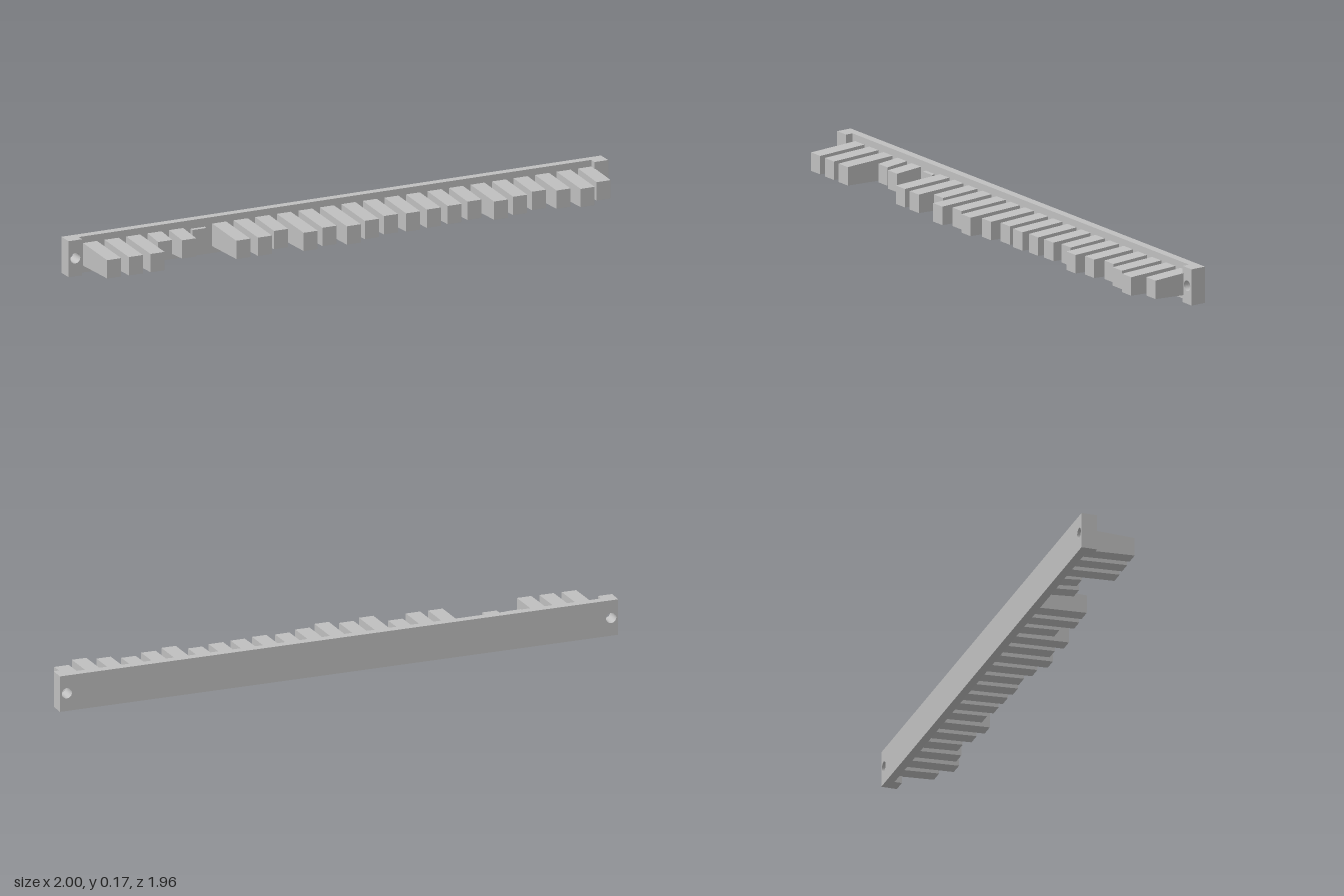
import * as THREE from 'three';

const LENGTH = 2.625, HEIGHT = 0.165, RAIL_DEPTH = 0.038, TAB_DEPTH = 0.072, TAB_WIDTH = 0.066;
const PITCH = 0.1047, TOOTH_WIDTH = 0.068, FIRST = 0.087, MID = 0.083;

// Tip distance of each tooth from the back of the rail
const REACH = [0.277, 0.279, 0.281, 0.143, 0.167, 0.056, 0.277, 0.279, 0.224, 0.305, 0.277, 0.305,
  0.27, 0.245, 0.254, 0.245, 0.239, 0.222, 0.272, 0.248, 0.22, 0.251, 0.277, 0.222];

export function createModel() {
  const grey = new THREE.MeshStandardMaterial({ color: 0xbfbfbf, flatShading: true });
  grey.name = 'grey';
  const model = new THREE.Group();
  model.name = 'toothedRail';

  const add = (name, geometry, x, y, z) => {
    const mesh = new THREE.Mesh(geometry, grey);
    mesh.name = name;
    mesh.position.set(x, y, z);
    model.add(mesh);
  };

  // Long backing rail between the end blocks
  add('rail', new THREE.BoxGeometry(LENGTH - 2 * TAB_WIDTH, HEIGHT, RAIL_DEPTH),
    LENGTH / 2, HEIGHT / 2, RAIL_DEPTH / 2);

  // Thicker end blocks, each with a through hole
  const tab = new THREE.Shape([[0, 0], [TAB_WIDTH, 0], [TAB_WIDTH, HEIGHT], [0, HEIGHT]]
    .map(([x, y]) => new THREE.Vector2(x, y)));
  tab.holes.push(new THREE.Path().absarc(TAB_WIDTH / 2, HEIGHT / 2, 0.024, 0, Math.PI * 2, true));
  const tabGeometry = new THREE.ExtrudeGeometry(tab, { depth: TAB_DEPTH, bevelEnabled: false, curveSegments: 16 });
  add('rightEndBlock', tabGeometry, 0, 0, 0);
  add('leftEndBlock', tabGeometry, LENGTH - TAB_WIDTH, 0, 0);

  // Row of teeth of varied length, slightly lower at the tip than at the root
  REACH.forEach((reach, i) => {
    const root = RAIL_DEPTH - 0.004;
    const depth = reach - root;
    const geometry = new THREE.BoxGeometry(TOOTH_WIDTH, 1, depth);
    const p = geometry.attributes.position;
    for (let k = 0; k < p.count; k++) {
      p.setY(k, p.getY(k) * (p.getZ(k) > 0 ? 0.084 : depth < 0.05 ? 0.086 : 0.104));
    }
    geometry.computeVertexNormals();
    add('tooth' + (i + 1), geometry, FIRST + i * PITCH + TOOTH_WIDTH / 2, MID, root + depth / 2);
  });

  // Lay the rail diagonally
  model.rotation.y = 0.767;
  model.position.set(-1, 0, 0.84);
  const group = new THREE.Group();
  group.name = 'model';
  group.add(model);
  return group;
}
